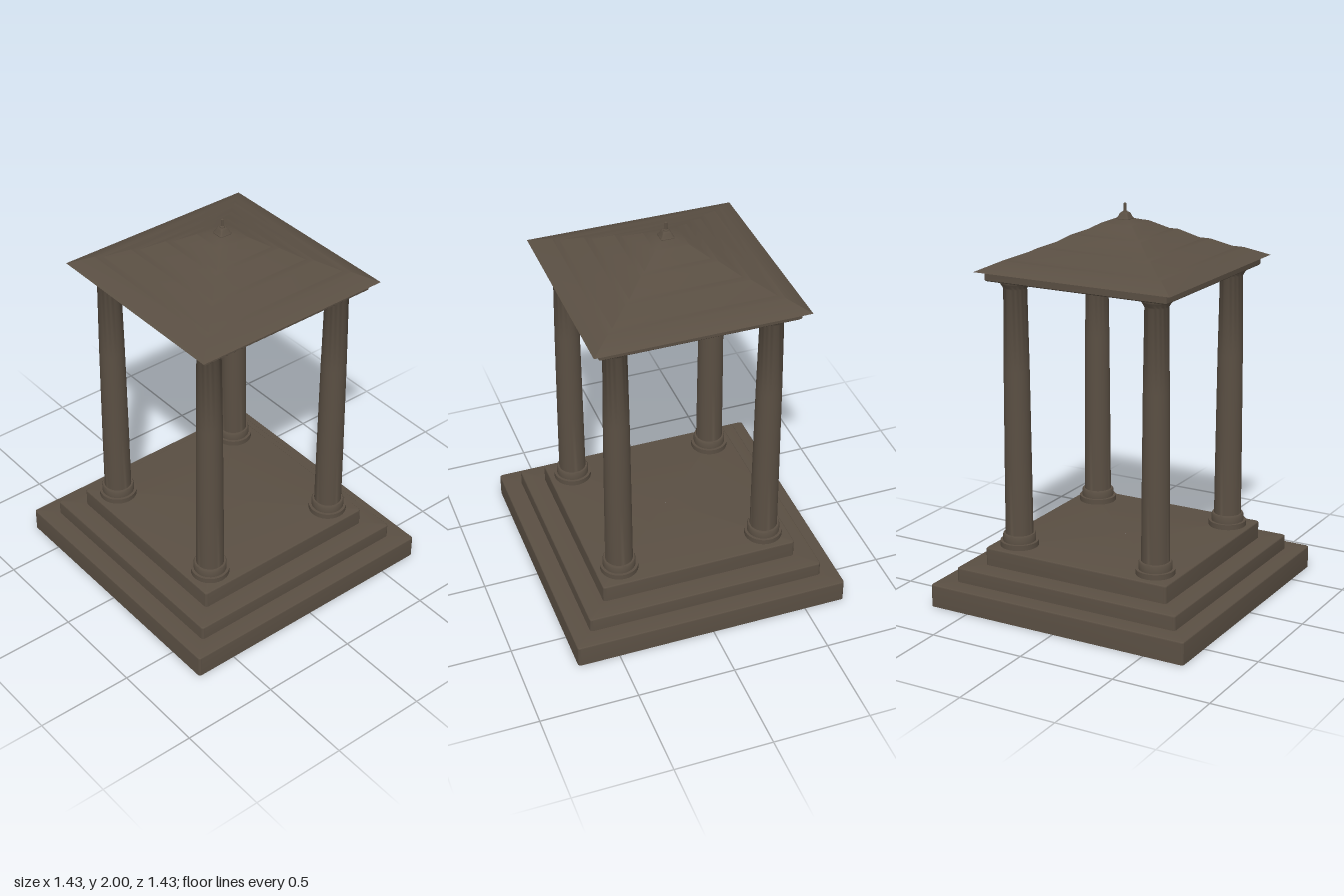
import * as THREE from 'three';
import { toCreasedNormals } from 'three/addons/utils/BufferGeometryUtils.js';

const stone = new THREE.MeshStandardMaterial({ color: 0x5a4f43, side: THREE.DoubleSide });
stone.name = 'stone';

// Stack of square rings [halfWidth, y], corners optionally rounded
function squareLoft(profile, radius, segs, crease) {
  const pos = [], index = [], n = 4 * (segs + 1);
  for (const [half, y] of profile) {
    const r = segs ? Math.min(radius, half * 0.9) : 0;
    for (let q = 0; q < 4; q++) {
      const mid = (q + 0.5) * Math.PI / 2;
      const cx = Math.sign(Math.cos(mid)) * (half - r), cz = Math.sign(Math.sin(mid)) * (half - r);
      for (let s = 0; s <= segs; s++) {
        const a = (q + (segs ? s / segs : 0)) * Math.PI / 2;
        pos.push(cx + Math.cos(a) * r, y, cz + Math.sin(a) * r);
      }
    }
  }
  for (let j = 0; j < profile.length - 1; j++) {
    for (let i = 0; i < n; i++) {
      const a = j * n + i, b = j * n + (i + 1) % n;
      index.push(a, a + n, b, b, a + n, b + n);
    }
  }
  const g = new THREE.BufferGeometry();
  g.setAttribute('position', new THREE.Float32BufferAttribute(pos, 3));
  g.setIndex(index);
  return toCreasedNormals(g, crease);
}

function lathe(points, crease) {
  const g = new THREE.LatheGeometry(points.map(([r, y]) => new THREE.Vector2(r, y)), 32);
  return toCreasedNormals(g, crease);
}

export function createModel() {
  const model = new THREE.Group();
  model.name = 'pavilion';
  const add = (name, geometry, x = 0, z = 0) => {
    const mesh = new THREE.Mesh(geometry, stone);
    mesh.name = name;
    mesh.position.set(x, 0, z);
    model.add(mesh);
  };

  // Stepped base: a hollow shell, open underneath
  const steps = [], bevel = 0.008;
  let y0 = 0;
  for (const [half, y1] of [[0.715, 0.117], [0.62, 0.193], [0.515, 0.285]]) {
    steps.push([half, y0]);
    for (let k = 0; k <= 3; k++) {
      const a = k * Math.PI / 6;
      steps.push([half - bevel + bevel * Math.cos(a), y1 - bevel + bevel * Math.sin(a)]);
    }
    y0 = y1;
  }
  steps.push([0.001, y0]);
  add('steppedBase', squareLoft(steps, 0.015, 4, 0.3));

  // Four tapered columns with moulded feet and flared capitals
  const column = lathe([
    [0, 0.283], [0.097, 0.283], [0.097, 0.312], [0.083, 0.312], [0.083, 0.345], [0.079, 0.352],
    [0.07, 0.352], [0.068, 0.7], [0.064, 1.2], [0.058, 1.61], [0.062, 1.618], [0.073, 1.635],
    [0.077, 1.643], [0.077, 1.657], [0, 1.657],
  ], 0.7);
  for (const x of [-0.39, 0.39]) for (const z of [-0.39, 0.39]) add('column', column, x, z);

  // Ceiling slab
  add('ceilingSlab', squareLoft([
    [0.001, 1.653], [0.494, 1.653], [0.499, 1.658], [0.499, 1.7],
  ], 0.01, 3, 0.3));

  // Tiered hip roof with thin overhanging eaves
  add('roof', squareLoft([
    [0.499, 1.698], [0.535, 1.7], [0.435, 1.747], [0.405, 1.75], [0.31, 1.8], [0.28, 1.803],
    [0.192, 1.857], [0.165, 1.861], [0.085, 1.908], [0.06, 1.914], [0.035, 1.922], [0.001, 1.924],
  ], 0, 0, 0.6));

  // Finial: small square pedestal and rod
  add('finialPedestal', squareLoft([
    [0.034, 1.915], [0.034, 1.925], [0.028, 1.933], [0.021, 1.95], [0.016, 1.955], [0.001, 1.956],
  ], 0.008, 3, 0.5));
  add('finialRod', lathe([
    [0.013, 1.95], [0.012, 1.959], [0.007, 1.963], [0.007, 1.997], [0.004, 2], [0, 2],
  ], 0.7));

  return model;
}
